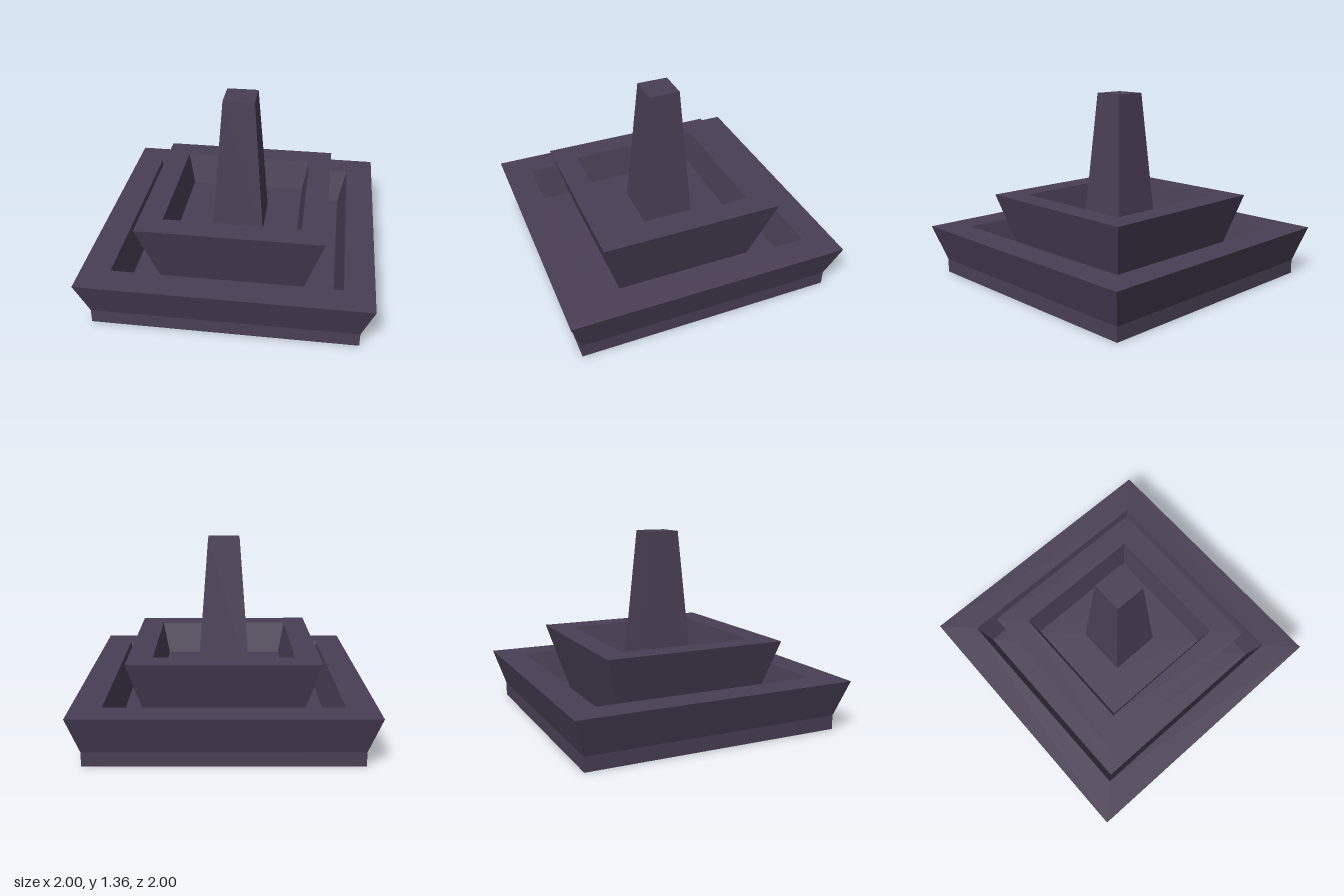
import * as THREE from 'three';

const stone = new THREE.MeshStandardMaterial({ color: 0x4a3f55, side: THREE.DoubleSide });
stone.name = 'dark purple stone';

// Square shell with flat faces; profile points are [half width, height]
function squareShell(name, profile) {
  const points = profile.map(([w, y]) => new THREE.Vector2(w * Math.SQRT2, y));
  const geometry = new THREE.LatheGeometry(points, 4, Math.PI / 4).toNonIndexed();
  geometry.computeVertexNormals();
  const mesh = new THREE.Mesh(geometry, stone);
  mesh.name = name;
  return mesh;
}

export function createModel() {
  const group = new THREE.Group();
  group.name = 'tieredFountain';
  group.add(
    // Straight footing, open underneath
    squareShell('footing', [[0.92, 0], [0.92, 0.1]]),
    // Flared outer wall, flat rim, sloping inside and floor
    squareShell('lowerBasin', [[0.92, 0.1], [1, 0.356], [0.793, 0.356], [0.733, 0.1], [0.51, 0.1]]),
    // Smaller basin rising from the lower floor
    squareShell('upperBasin', [[0.51, 0.1], [0.655, 0.602], [0.485, 0.602], [0.438, 0.372], [0.187, 0.372]]),
    // Hollow tapered pillar with a flat top
    squareShell('pillar', [[0.187, 0.372], [0.112, 1.358], [0, 1.358]])
  );
  return group;
}
